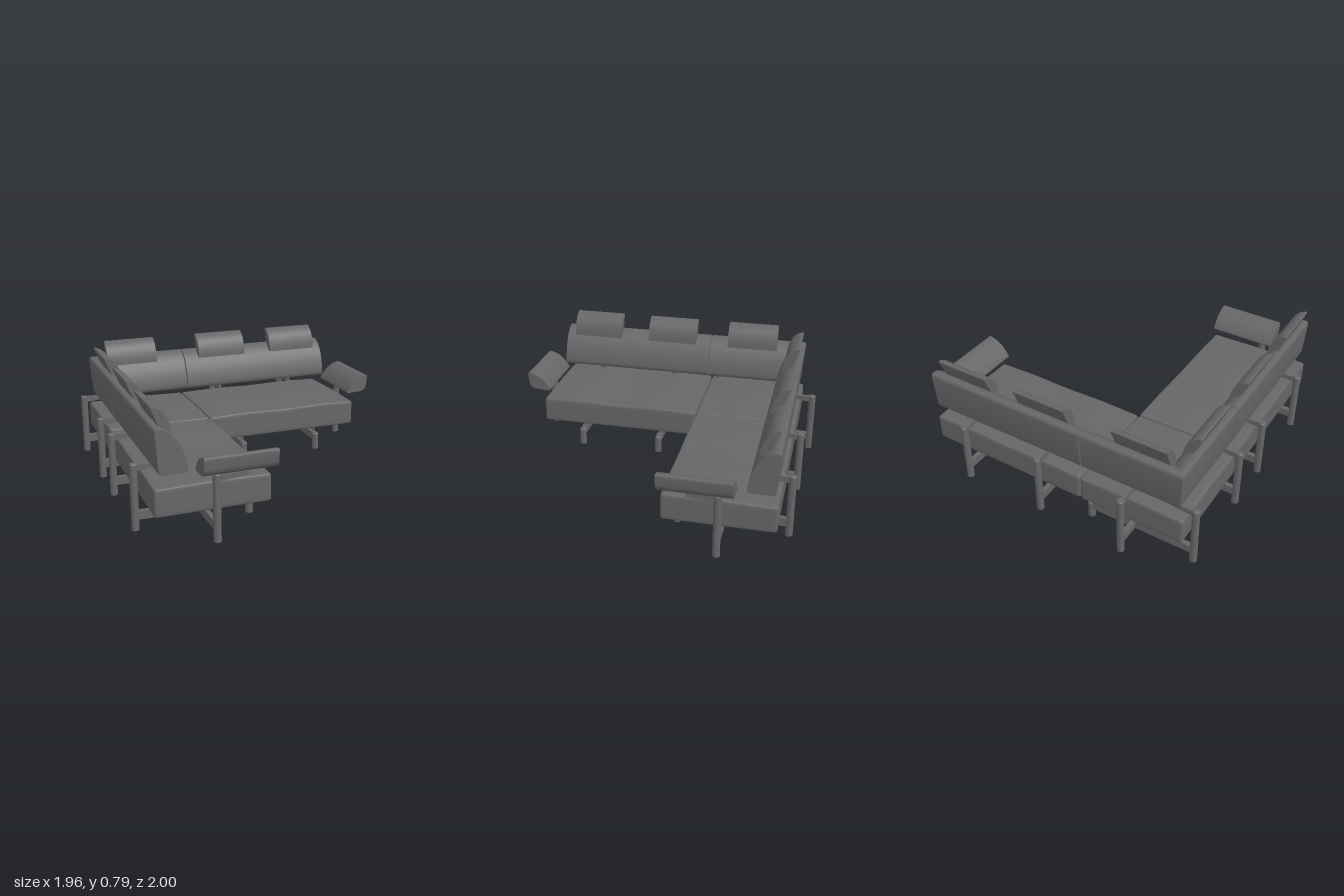
import * as THREE from 'three';
import { mergeVertices, toCreasedNormals } from 'three/addons/utils/BufferGeometryUtils.js';

const charcoal = new THREE.MeshStandardMaterial({ color: 0x666666 });
charcoal.name = 'charcoal';

function add(parent, name, geometry, x = 0, y = 0, z = 0, turn = 0) {
  const mesh = new THREE.Mesh(geometry, charcoal);
  mesh.name = name;
  mesh.position.set(x, y, z);
  mesh.rotation.y = turn;
  parent.add(mesh);
  return mesh;
}

// Cushion profiles: x runs inward from the outer edge, y is height
function backProfile() {
  const s = new THREE.Shape();
  s.moveTo(0.03, 0.42);
  s.lineTo(0.165, 0.42);
  s.quadraticCurveTo(0.18, 0.425, 0.18, 0.45);
  s.bezierCurveTo(0.172, 0.54, 0.125, 0.645, 0.05, 0.676);
  s.quadraticCurveTo(0.03, 0.684, 0.012, 0.68);
  s.quadraticCurveTo(0, 0.675, 0, 0.655);
  s.lineTo(0.016, 0.435);
  s.quadraticCurveTo(0.018, 0.42, 0.03, 0.42);
  return s;
}

function headProfile() {
  const s = new THREE.Shape();
  s.moveTo(0.06, 0.63);
  s.lineTo(0.11, 0.63);
  s.bezierCurveTo(0.108, 0.7, 0.08, 0.775, 0.006, 0.79);
  s.quadraticCurveTo(-0.002, 0.79, 0, 0.78);
  s.lineTo(0.06, 0.63);
  return s;
}

function armProfile() {
  const s = new THREE.Shape();
  s.moveTo(0.045, 0.415);
  s.lineTo(0.148, 0.41);
  s.quadraticCurveTo(0.162, 0.412, 0.155, 0.425);
  s.bezierCurveTo(0.12, 0.48, 0.08, 0.525, 0.01, 0.533);
  s.quadraticCurveTo(0, 0.533, 0, 0.52);
  s.lineTo(0.006, 0.46);
  s.quadraticCurveTo(0.015, 0.425, 0.045, 0.415);
  return s;
}

// Extrudes a profile along x, centred; mitre -1 or 1 cuts that end at 45 degrees
function cushion(profile, length, mitre = 0) {
  const g = new THREE.ExtrudeGeometry(profile, { depth: length, bevelEnabled: false, curveSegments: 10 });
  g.rotateY(-Math.PI / 2).translate(length / 2, 0, 0);
  const p = g.attributes.position;
  for (let i = 0; i < p.count; i++) {
    if (p.getX(i) * mitre > 0) p.setX(i, p.getX(i) - mitre * p.getZ(i));
  }
  return toCreasedNormals(g, 0.5);
}

// Soft-edged seat block with gently humped top
function seatGeometry(w, d, humpsX, humpsZ) {
  const h = 0.172, r = 0.018;
  const half = [w / 2, h / 2, d / 2];
  const g = new THREE.BoxGeometry(2, 2, 2, 28, 12, 28);
  g.deleteAttribute('uv');
  g.deleteAttribute('normal');
  const p = g.attributes.position;
  for (let i = 0; i < p.count; i++) {
    const v = half.map((m, k) => m * Math.sin(p.getComponent(i, k) * Math.PI / 2));
    const core = v.map((c, k) => Math.max(r - half[k], Math.min(half[k] - r, c)));
    const off = new THREE.Vector3(...v.map((c, k) => c - core[k]));
    if (off.length() > 0) off.setLength(r);
    const q = core.map((c, k) => c + off.getComponent(k));
    if (q[1] > 0) {
      const wave = (t, n) => 0.5 - 0.5 * Math.cos(2 * Math.PI * n * t);
      q[1] += 0.006 * (wave(q[0] / w + 0.5, humpsX) + wave(q[2] / d + 0.5, humpsZ)) * q[1] / half[1];
    }
    p.setXYZ(i, ...q);
  }
  const merged = mergeVertices(g);
  merged.computeVertexNormals();
  return merged;
}

// Round post with softened ends
function postGeometry(h) {
  const r = 0.023, c = 0.006;
  const pts = [[0, 0], [r - c, 0], [r, c], [r, h - c], [r - c, h], [0, h]];
  return toCreasedNormals(new THREE.LatheGeometry(pts.map(a => new THREE.Vector2(...a)), 20), 0.5);
}

// Tapered bracket reaching out along +x from a post
function bracketGeometry() {
  const g = new THREE.BoxGeometry(0.185, 0.04, 0.024).translate(0.0925, 0.387, 0);
  const p = g.attributes.position;
  for (let i = 0; i < p.count; i++) {
    if (p.getX(i) > 0.1 && p.getY(i) < 0.387) p.setY(i, 0.385);
  }
  g.computeVertexNormals();
  return g;
}

export function createModel() {
  const sofa = new THREE.Group();
  sofa.name = 'cornerSofa';
  const Q = Math.PI / 2;

  // Seats
  const seats = [
    ['cornerSeat', -0.913, -0.223, -0.893, -0.21, 1, 1],
    ['rightSeat', -0.22, 0.87, -0.893, -0.21, 2, 1],
    ['frontSeat', -0.913, -0.223, -0.205, 0.887, 1, 2],
  ];
  for (const [name, x0, x1, z0, z1, nx, nz] of seats) {
    add(sofa, name, seatGeometry(x1 - x0, z1 - z0, nx, nz), (x0 + x1) / 2, 0.261, (z0 + z1) / 2);
  }

  // Backrests, mitred in the corner
  const along = (name, profile, a, b, axis, outer, turn, mitre) => {
    const mid = (a + b) / 2, g = cushion(profile, b - a, mitre);
    if (axis === 'x') add(sofa, name, g, mid, 0, outer, turn);
    else add(sofa, name, g, outer, 0, mid, turn);
  };
  const backX = -0.897, backZ = -0.89;
  along('cornerBackRear', backProfile(), backX, -0.226, 'x', backZ, 0, -1);
  along('cornerBackSide', backProfile(), backZ, -0.208, 'z', backX, Q, 1);
  along('rightBack', backProfile(), -0.219, 0.867, 'x', backZ, 0, 0);
  along('frontBack', backProfile(), -0.203, 0.885, 'z', backX, Q, 0);

  // Headrests
  for (const x of [-0.79, -0.115, 0.448]) along('rearHeadrest', headProfile(), x, x + 0.356, 'x', -0.873, 0, 0);
  for (const z of [-0.687, -0.097, 0.468]) along('sideHeadrest', headProfile(), z, z + 0.356, 'z', backX, Q, 0);

  // Armrests
  along('rightArmrest', armProfile(), -0.65, -0.207, 'z', 0.98, -Q, 0);
  along('frontArmrest', armProfile(), -0.662, -0.225, 'x', 1.0, Math.PI, 0);

  // Tall posts with brackets: x, z, bracket direction
  const posts = [
    [-0.56, -0.977, -Q], [0.043, -0.945, -Q], [0.6, -0.945, -Q],
    [-0.96, -0.825, 0], [-0.96, -0.268, 0], [-0.96, 0.062, 0], [-0.96, 0.62, 0],
    [0.913, -0.555, -Q], [-0.57, 0.935, 0],
  ];
  for (const [x, z, turn] of posts) {
    add(sofa, 'post', postGeometry(0.412), x, 0, z);
    add(sofa, 'bracket', bracketGeometry(), x, 0, z, turn);
  }

  // Short legs under the seat fronts
  const legs = [[0.043, -0.26], [0.6, -0.26], [-0.26, -0.825], [-0.26, -0.268], [-0.26, 0.062], [-0.26, 0.62]];
  for (const [x, z] of legs) add(sofa, 'shortLeg', postGeometry(0.122), x, 0, z);

  // Base beams
  const beam = (x0, z0, x1, z1) => add(sofa, 'baseBeam',
    new THREE.BoxGeometry(Math.max(x1 - x0, 0.03), 0.052, Math.max(z1 - z0, 0.03)),
    (x0 + x1) / 2, 0.097, (z0 + z1) / 2);
  for (const z of [-0.825, -0.268, 0.062, 0.62]) beam(-0.96, z, -0.26, z);
  for (const x of [0.043, 0.6]) beam(x, -0.945, x, -0.26);
  beam(0.043, -0.555, 0.913, -0.555);
  beam(-0.57, 0.062, -0.57, 0.935);
  beam(-0.56, -0.977, -0.56, -0.222);

  // Pins carrying the seats
  const pin = (x, z) => add(sofa, 'seatPin', new THREE.CylinderGeometry(0.009, 0.009, 0.07, 12), x, 0.147, z);
  for (const a of [-0.825, -0.268, 0.062, 0.62]) for (const x of [-0.82, -0.31]) pin(x, a);
  for (const x of [0.043, 0.6]) for (const z of [-0.8, -0.295]) pin(x, z);

  return sofa;
}
